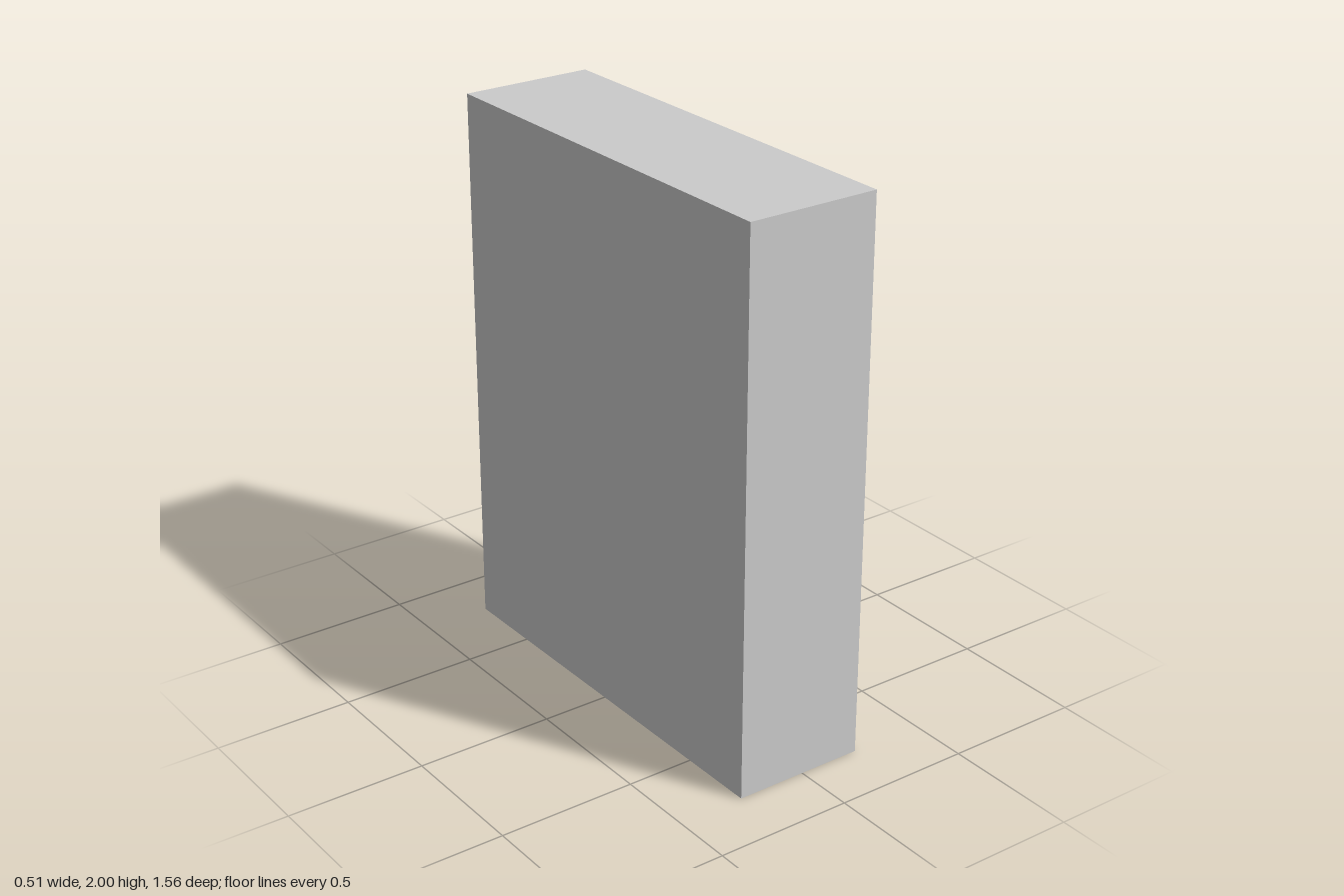
import * as THREE from 'three';

const material = new THREE.MeshStandardMaterial({ color: 0xcccccc, flatShading: true });

function box(name, [w, h, d], [x, y, z]) {
  const mesh = new THREE.Mesh(new THREE.BoxGeometry(w, h, d), material);
  mesh.name = name;
  mesh.position.set(x, y, z);
  return mesh;
}

export function createModel() {
  const group = new THREE.Group();
  group.name = 'cabinet';

  const bodyFace = 0.229; // x of the face carrying the panels
  const panelFace = 0.256;
  const depth = panelFace - bodyFace;
  const panelX = (bodyFace + panelFace) / 2;

  // Solid cabinet body
  group.add(box('body', [bodyFace + 0.256, 2, 1.564], [(bodyFace - 0.256) / 2, 1, 0]));

  // Three by three grid of raised square panels
  const size = 0.441, pitch = 0.488;
  for (let row = 0; row < 3; row++) {
    for (let col = -1; col <= 1; col++) {
      group.add(box('squarePanel', [depth, size, size], [panelX, 1.709 - row * pitch, -col * pitch]));
    }
  }

  // Wide panel below the grid
  group.add(box('lowerPanel', [depth, 0.244, 1.46], [panelX, 0.368, 0]));

  return group;
}
